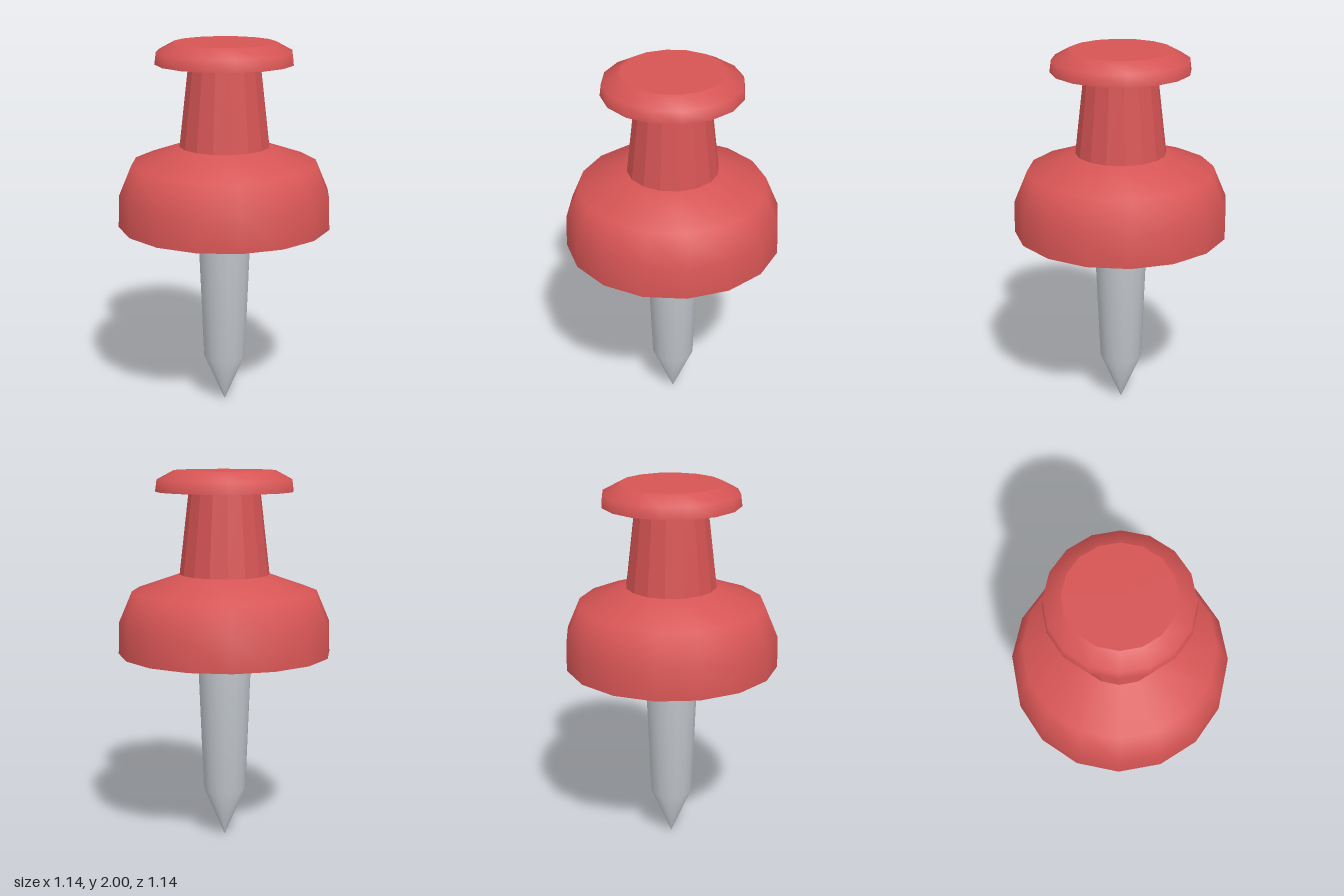
import * as THREE from 'three';

const SIDES = 16;

export function createModel() {
  const red = new THREE.MeshStandardMaterial({ color: 0xd65454 });
  red.name = 'red plastic';
  const steel = new THREE.MeshStandardMaterial({ color: 0xc2c7cc });
  steel.name = 'steel';

  const model = new THREE.Group();
  model.name = 'pushPin';

  const add = (parent, name, geometry, material) => {
    const mesh = new THREE.Mesh(geometry, material);
    mesh.name = name;
    parent.add(mesh);
    return mesh;
  };

  // Smooth surface turned from [radius, height] pairs, listed bottom to top
  const turned = (profile) =>
    new THREE.LatheGeometry(profile.map(([r, y]) => new THREE.Vector2(r, y)), SIDES);

  // Flat disc facing up (1) or down (-1)
  const disc = (radius, y, facing) =>
    new THREE.CircleGeometry(radius, SIDES).rotateX(-facing * Math.PI / 2).translate(0, y, 0);

  // Turned solid with crisp flat ends
  const solid = (name, profile) => {
    const group = new THREE.Group();
    group.name = name;
    const [bottom, top] = [profile[0], profile[profile.length - 1]];
    add(group, name + 'Side', turned(profile), red);
    add(group, name + 'Underside', disc(bottom[0], bottom[1], -1), red);
    add(group, name + 'Top', disc(top[0], top[1], 1), red);
    model.add(group);
  };

  // Pointed metal pin
  add(model, 'pin', turned([[0, 0], [0.115, 0.27], [0.145, 1.03]]), steel);

  // Domed collar
  solid('collar', [[0.57, 1.03], [0.565, 1.2], [0.495, 1.365], [0.24, 1.455]]);

  // Faceted grip
  const grip = new THREE.CylinderGeometry(0.19, 0.24, 0.435, SIDES, 1, true)
    .translate(0, 1.6725, 0).toNonIndexed();
  grip.computeVertexNormals();
  add(model, 'grip', grip, red);

  // Rounded head
  solid('head', [[0.365, 1.89], [0.357, 1.953], [0.27, 2]]);

  return model;
}
